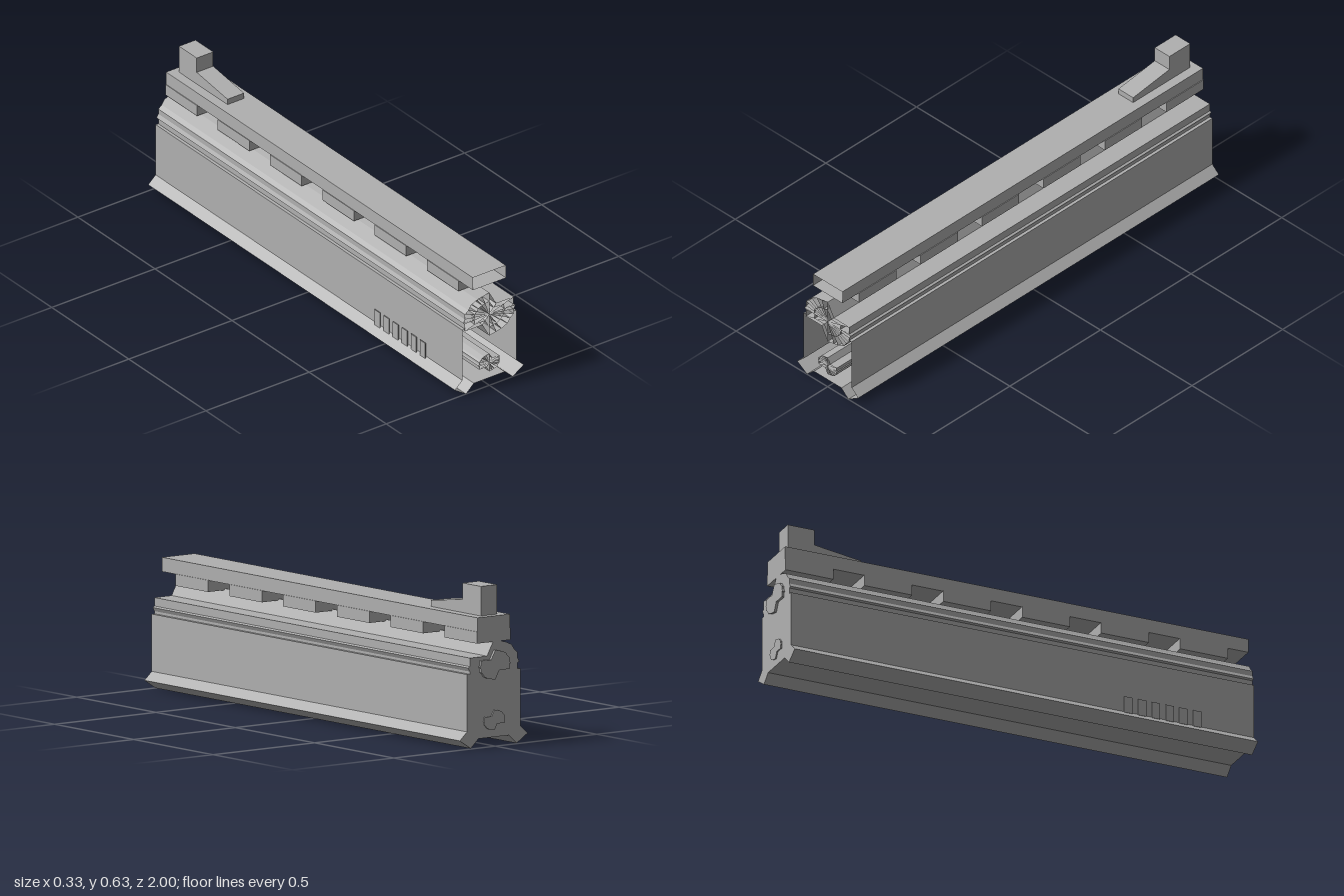
import * as THREE from 'three';

const FRONT = 1, BACK = -0.99;

export function createModel() {
  const model = new THREE.Group();
  const gray = new THREE.MeshStandardMaterial({ color: 0xb0b0b0, side: THREE.DoubleSide, flatShading: true });
  gray.name = 'metal gray';

  const add = (name, geometry, parent = model) => {
    const mesh = new THREE.Mesh(geometry, gray);
    mesh.name = name;
    parent.add(mesh);
    return mesh;
  };
  const box = (name, x, y0, y1, z0, z1, w) => {
    const mesh = add(name, new THREE.BoxGeometry(w, y1 - y0, z1 - z0));
    mesh.position.set(x, (y0 + y1) / 2, (z0 + z1) / 2);
  };

  // Long walls swept along z, one quad for each pair of profile points
  const walls = (segments, back) => {
    const pos = [];
    for (const [a, b] of segments) {
      const [af, ab, bb, bf] = [[...a, FRONT], [...a, back], [...b, back], [...b, FRONT]];
      pos.push(...af, ...ab, ...bb, ...af, ...bb, ...bf);
    }
    const g = new THREE.BufferGeometry();
    g.setAttribute('position', new THREE.Float32BufferAttribute(pos, 3));
    g.computeVertexNormals();
    return g;
  };

  // Channel open at the front and closed at the back
  const channel = (name, points, { back = BACK, closed = true, center = null } = {}) => {
    const group = new THREE.Group();
    group.name = name;
    const segments = points.map((p, i) => [p, points[(i + 1) % points.length]]);
    if (!closed) segments.pop();
    add(name + 'Walls', walls(segments, back), group);
    if (center) add(name + 'Ribs', walls(points.map(p => [center, p]), back), group);
    const shape = new THREE.Shape(points.map(p => new THREE.Vector2(...p)));
    const cap = add(name + 'BackCap', new THREE.ShapeGeometry(shape).rotateY(Math.PI).scale(-1, 1, 1), group);
    cap.geometry.index.array.reverse();
    cap.position.z = back;
    model.add(group);
  };

  // Box body with splayed feet, open along the top
  const half = [[0.075, 0.036], [0.113, 0.001], [0.167, 0.036], [0.131, 0.068], [0.131, 0.293], [0.118, 0.293]];
  const mirrored = half.map(([x, y]) => [-x, y]).reverse();
  channel('body', [...mirrored, ...half], { closed: false });

  // Notched round section shared by shroud, barrel and guide rod
  const lobe = [[0, 0.058], [-0.02, 0.054], [-0.035, 0.051], [-0.053, 0.043], [-0.061, 0.031], [-0.071, 0.023],
    [-0.071, 0.01], [-0.076, 0.001], [-0.071, -0.002], [-0.071, -0.022], [-0.02, -0.022]];
  const section = [...lobe, ...lobe.map(([x, y]) => [-x, -y])];
  const round = (cy, s) => section.map(([x, y]) => [x * s, cy + y * s]);
  channel('shroud', round(0.32, 1.66), { center: [0, 0.32] });
  channel('barrel', round(0.32, 1), { back: -1 });
  channel('guideRod', round(0.103, 0.69), { back: -0.995, center: [0, 0.103] });

  // Top rail on evenly spaced blocks
  channel('topRail', [[-0.08, 0.455], [0.08, 0.455], [0.08, 0.511], [-0.08, 0.511]]);
  for (let i = 0; i < 6; i++) {
    const z1 = 0.91 - i * 0.339;
    box('railBlock', 0, 0.41, 0.456, Math.max(z1 - 0.205, BACK), z1, 0.166);
  }

  // Ramped sight, drawn in side profile
  const side = [[0.645, 0.468], [0.96, 0.468], [0.96, 0.627], [0.845, 0.627], [0.845, 0.563], [0.645, 0.535]];
  const sight = new THREE.ExtrudeGeometry(new THREE.Shape(side.map(p => new THREE.Vector2(...p))),
    { depth: 0.08, bevelEnabled: false });
  sight.translate(0, 0, -0.04).rotateY(Math.PI / 2);
  add('sight', sight);

  // Thin grip bars on the right wall
  for (let i = 0; i < 6; i++) {
    const z0 = 0.44 + i * 0.059;
    box('gripBar', -0.137, 0.062, 0.13, z0, z0 + 0.035, 0.004);
  }
  return model;
}
